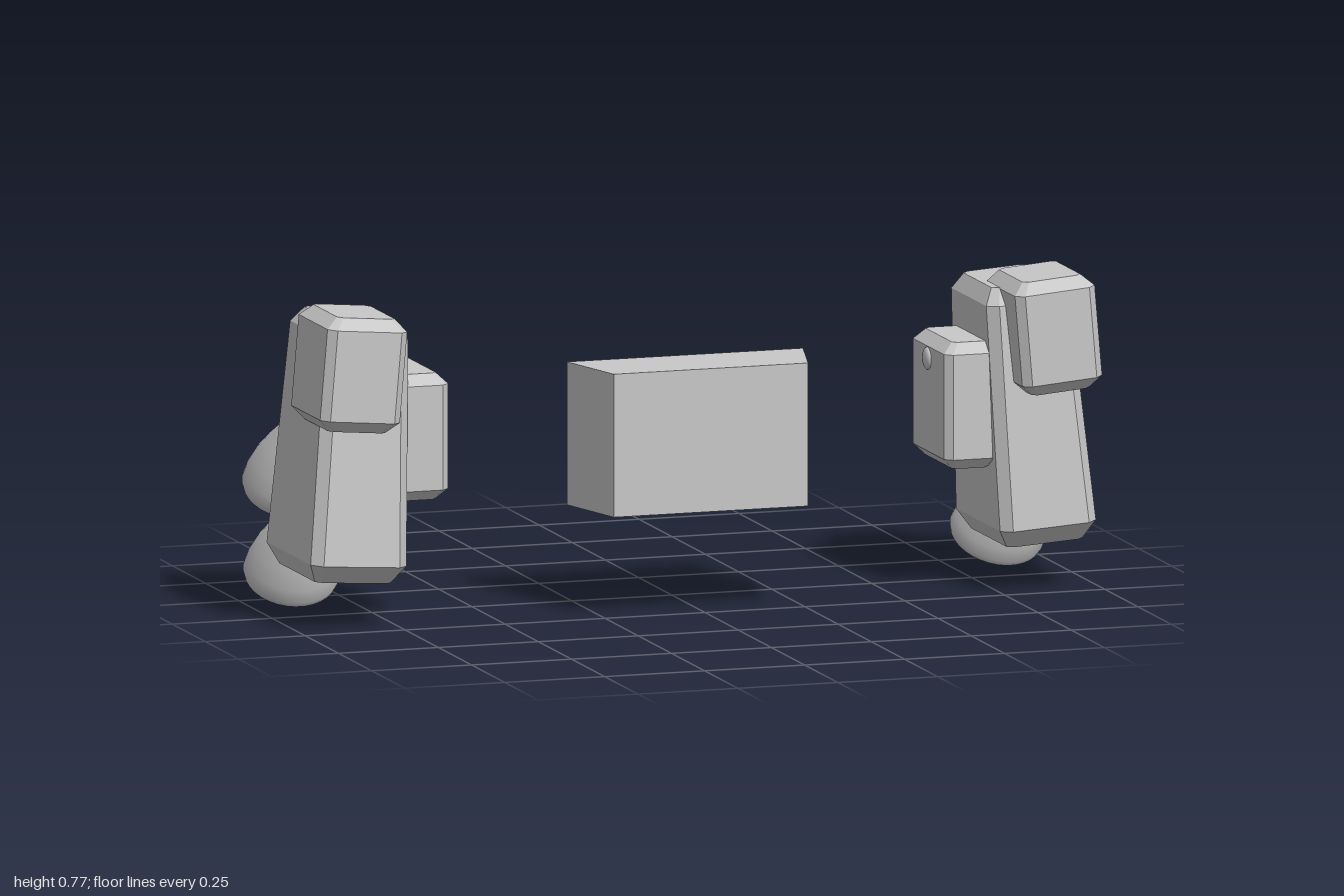
import * as THREE from 'three';

const grey = new THREE.MeshStandardMaterial({ color: 0xc8c8c8 });
grey.name = 'light grey';

// Chamfered block lofted from octagonal rings: [y, halfX, zBack, zFront, chamfer]
function loft(rings) {
  const pos = [], idx = [], n = 8;
  for (const [y, hx, z0, z1, c] of rings) {
    const plan = [
      [hx - c, z1], [hx, z1 - c], [hx, z0 + c], [hx - c, z0],
      [c - hx, z0], [-hx, z0 + c], [-hx, z1 - c], [c - hx, z1],
    ];
    for (const [x, z] of plan) pos.push(x, y, z);
  }
  for (let r = 0; r < rings.length - 1; r++) {
    for (let i = 0; i < n; i++) {
      const a = r * n + i, b = r * n + (i + 1) % n;
      idx.push(a, b, b + n, a, b + n, a + n);
    }
  }
  const top = (rings.length - 1) * n;
  for (let i = 1; i < n - 1; i++) {
    idx.push(0, i + 1, i);
    idx.push(top, top + i, top + i + 1);
  }
  const g = new THREE.BufferGeometry();
  g.setAttribute('position', new THREE.Float32BufferAttribute(pos, 3));
  g.setIndex(idx);
  const flat = g.toNonIndexed();
  flat.computeVertexNormals();
  return flat;
}

// Centred block with equal chamfers on every edge
function bevelBox(w, h, d, b) {
  const x = w / 2, y = h / 2, z = d / 2, c = b * 0.7;
  return loft([
    [-y, x - b, b - z, z - b, c * 0.6], [b - y, x, -z, z, c],
    [y - b, x, -z, z, c], [y, x - b, b - z, z - b, c * 0.6],
  ]);
}

function add(parent, name, geometry, x, y, z) {
  const m = new THREE.Mesh(geometry, grey);
  m.name = name;
  m.position.set(x, y, z);
  parent.add(m);
  return m;
}

// Bell-shaped nozzle opening along -y, closed by a flat disc
function nozzleGroup(name) {
  const g = new THREE.Group();
  g.name = name;
  const wall = [[0.103, -0.192], [0.111, -0.186], [0.115, -0.172], [0.109, -0.14],
    [0.094, -0.095], [0.07, -0.045], [0.044, 0]];
  add(g, 'nozzleBell', new THREE.LatheGeometry(wall.map(p => new THREE.Vector2(...p)), 32), 0, 0, 0);
  const base = add(g, 'nozzleBase', new THREE.CircleGeometry(0.103, 32), 0, -0.192, 0);
  base.rotation.x = Math.PI / 2;
  const cap = add(g, 'nozzleCap', new THREE.CircleGeometry(0.044, 32), 0, 0, 0);
  cap.rotation.x = -Math.PI / 2;
  return g;
}

function pod(s) {
  const g = new THREE.Group();
  g.name = s > 0 ? 'leftPod' : 'rightPod';

  // Tapered main body leaning inward
  const body = add(g, 'podBody', loft([
    [-0.028, 0.095, -0.08, 0.217, 0.015],
    [0.018, 0.12, -0.12, 0.262, 0.025],
    [0.555, 0.104, -0.098, 0.216, 0.025],
    [0.593, 0.08, -0.06, 0.18, 0.015],
  ]), s * 0.8635, 0.15, 0);
  body.rotation.z = s * 0.066;

  // Upper front block
  const head = add(g, 'upperBlock', bevelBox(0.2, 0.275, 0.257, 0.028), s * 0.869, 0.635, 0.187);
  head.rotation.z = s * 0.085;

  // Inner side box with a round button
  add(g, 'sideBox', bevelBox(0.14, 0.305, 0.27, 0.026), s * 0.69, 0.458, 0.065);
  const button = add(g, 'sideButton', new THREE.SphereGeometry(0.027, 20, 12), s * 0.62, 0.555, 0.06);
  button.scale.x = 0.4;

  // Two rear nozzles, one above the other
  [['upperNozzle', 0.437, -0.127], ['lowerNozzle', 0.226, -0.118]].forEach(([name, y, z]) => {
    const n = nozzleGroup(name);
    n.position.set(s * 0.893, y, z);
    n.rotation.set(0.56, 0, -s * 0.07, 'ZXY');
    g.add(n);
  });
  return g;
}

export function createModel() {
  const model = new THREE.Group();
  model.name = 'thrusterPods';
  model.add(pod(1), pod(-1));

  // Centre block, narrower toward the front
  const box = new THREE.BoxGeometry(0.59, 0.345, 0.195).toNonIndexed();
  const p = box.attributes.position;
  for (let i = 0; i < p.count; i++) {
    if (p.getZ(i) > 0) p.setX(i, Math.sign(p.getX(i)) * 0.243);
  }
  box.computeVertexNormals();
  add(model, 'centreBlock', box, 0, 0.432, 0.197);
  return model;
}
